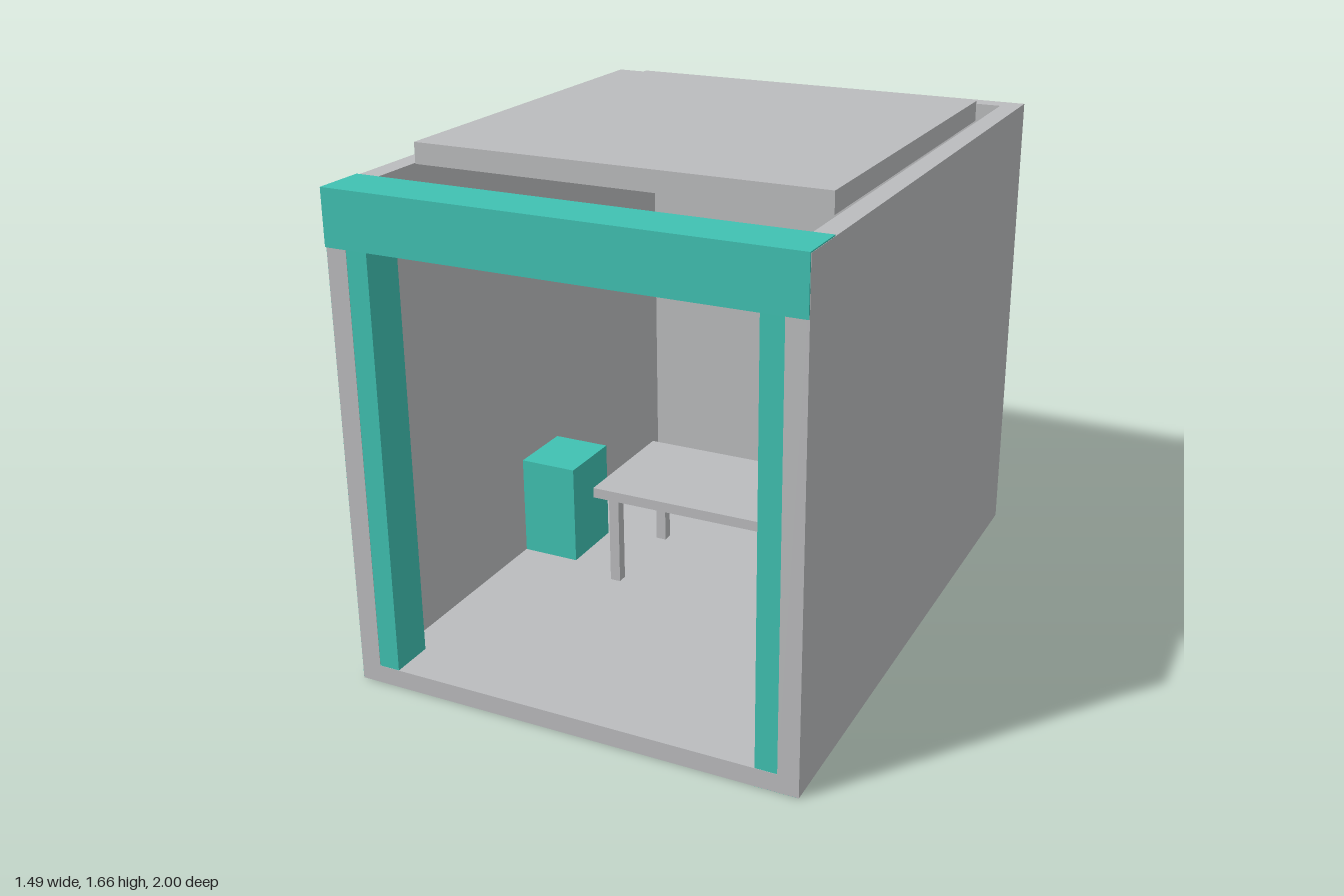
import * as THREE from 'three';

export function createModel() {
  const root = new THREE.Group();
  const grey = new THREE.MeshStandardMaterial({ color: 0xbbbcbe });
  grey.name = 'concrete grey';
  const teal = new THREE.MeshStandardMaterial({ color: 0x40c1b2 });
  teal.name = 'teal paint';

  // Box given by its lower and upper bounds on each axis
  const box = (name, material, [x0, x1], [y0, y1], [z0, z1], parent = root) => {
    const geometry = new THREE.BoxGeometry(x1 - x0, y1 - y0, z1 - z0);
    const mesh = new THREE.Mesh(geometry, material);
    mesh.position.set((x0 + x1) / 2, (y0 + y1) / 2, (z0 + z1) / 2);
    mesh.name = name;
    parent.add(mesh);
    return mesh;
  };

  const W = 0.745, inner = 0.678, floorY = 0.06, wallTop = 1.596, front = 0.995;

  // Room shell, open at the front and top
  box('floor', grey, [-W, W], [0, floorY], [-1, front]);
  box('backWall', grey, [-inner, inner], [floorY, wallTop], [-1, -0.93]);
  box('leftWall', grey, [inner, W], [floorY, wallTop], [-1, front]);
  box('rightWall', grey, [-W, -inner], [floorY, wallTop], [-1, front]);

  // Raised roof slab
  box('roofSlab', grey, [-0.67, 0.67], [wallTop, 1.663], [-0.655, 0.645]);

  // Front portal: two posts that wrap the wall ends, and a beam across
  box('leftPost', teal, [0.608, W - 0.001], [-0.001, 1.5], [0.86, front - 0.001]);
  box('rightPost', teal, [-W - 0.001, -0.608], [0.001, 1.5], [0.85, front - 0.001]);
  box('frontBeam', teal, [-W - 0.001, W - 0.001], [1.423, 1.6], [0.83, 1]);

  // Cabinets against the side walls
  box('leftCabinet', teal, [0.473, 0.677], [floorY, 0.41], [-0.125, 0.115]);
  box('rightCabinet', teal, [-0.677, -0.473], [floorY, 0.41], [-0.125, 0.115]);

  // Table
  const table = new THREE.Group();
  table.name = 'table';
  root.add(table);
  box('tableTop', grey, [-0.337, 0.337], [0.378, 0.413], [-0.228, 0.215], table);
  for (const x of [-0.276, 0.276]) {
    for (const z of [-0.183, 0.167]) {
      box('tableLeg', grey, [x - 0.018, x + 0.018], [floorY, 0.378], [z - 0.018, z + 0.018], table);
    }
  }
  return root;
}
